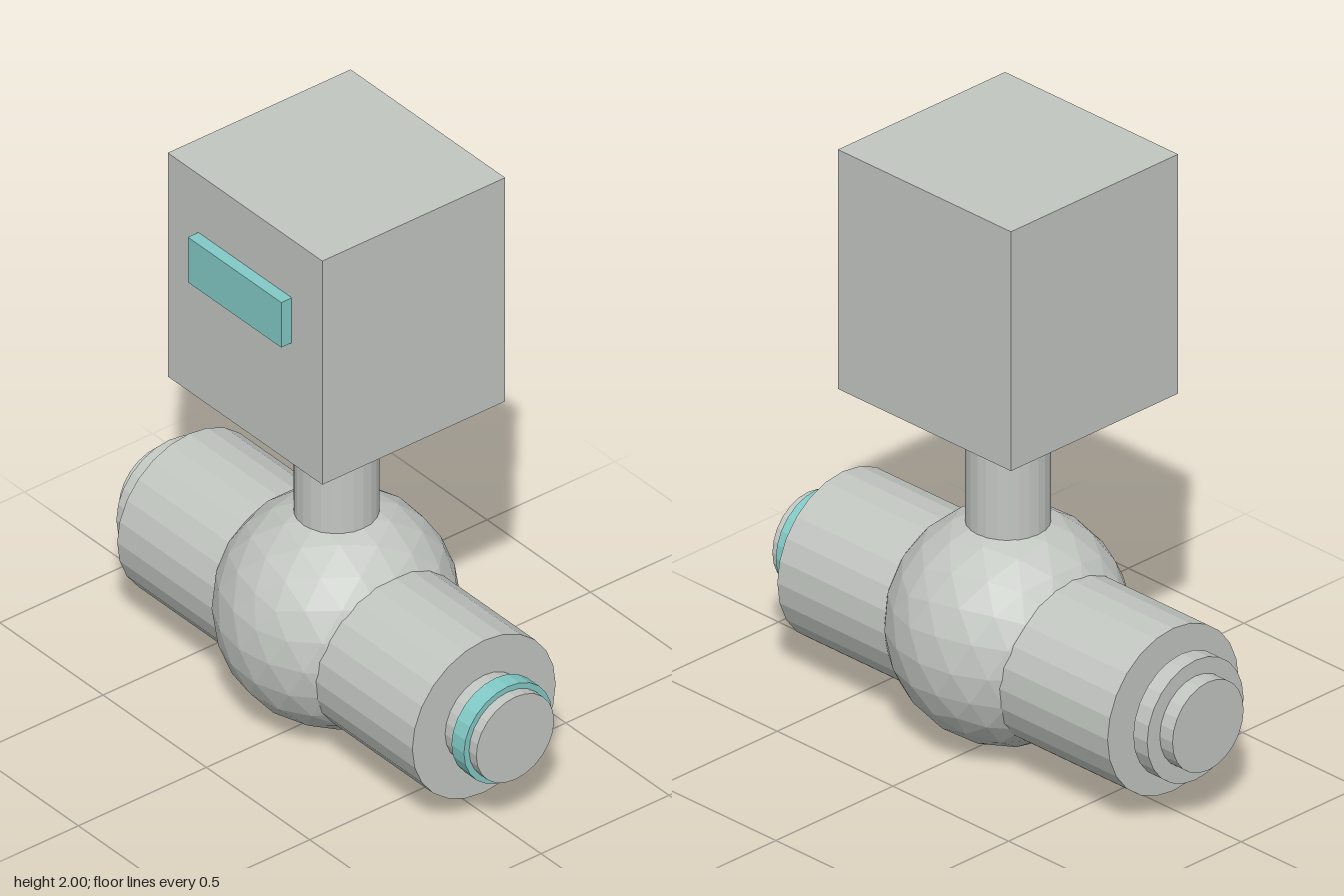
import * as THREE from 'three';

export function createModel() {
  const grey = new THREE.MeshStandardMaterial({ color: 0xc2c6c1 });
  grey.name = 'paleGrey';
  grey.flatShading = true;
  const teal = new THREE.MeshStandardMaterial({ color: 0x82cac6 });
  teal.name = 'teal';
  teal.flatShading = true;

  const model = new THREE.Group();
  model.name = 'valve';
  const z0 = -0.008; // depth of the shared centre line
  const pipeY = 0.35;

  function add(name, geometry, material, x, y, z = z0) {
    const mesh = new THREE.Mesh(geometry, material);
    mesh.name = name;
    mesh.position.set(x, y, z);
    model.add(mesh);
    return mesh;
  }

  // Cylinder lying along x, between two x positions
  function pipe(name, radius, from, to, material = grey) {
    const geometry = new THREE.CylinderGeometry(radius, radius, to - from, 24).rotateZ(Math.PI / 2);
    return add(name, geometry, material, (from + to) / 2, pipeY);
  }

  // Faceted ball body, turned so one corner points straight up
  const ball = new THREE.IcosahedronGeometry(0.38, 3);
  ball.rotateZ(-Math.atan(2 / (1 + Math.sqrt(5))));
  add('ballBody', ball, grey, 0, 0.38);

  // Horizontal pipe, its narrower ends and their rings
  pipe('mainPipe', 0.28, -0.714, 0.714);
  pipe('leftEnd', 0.152, 0.714, 0.865);
  pipe('rightEnd', 0.152, -0.865, -0.714);
  pipe('leftRing', 0.172, 0.77, 0.83, teal);
  pipe('rightRing', 0.206, -0.81, -0.75);

  // Stem and control box with its display
  add('stem', new THREE.CylinderGeometry(0.131, 0.131, 0.6, 24), grey, 0, 0.9);
  add('controlBox', new THREE.BoxGeometry(0.748, 0.824, 0.714), grey, 0, 1.588);
  add('display', new THREE.BoxGeometry(0.452, 0.166, 0.05), teal, 0, 1.703, 0.365);

  return model;
}
